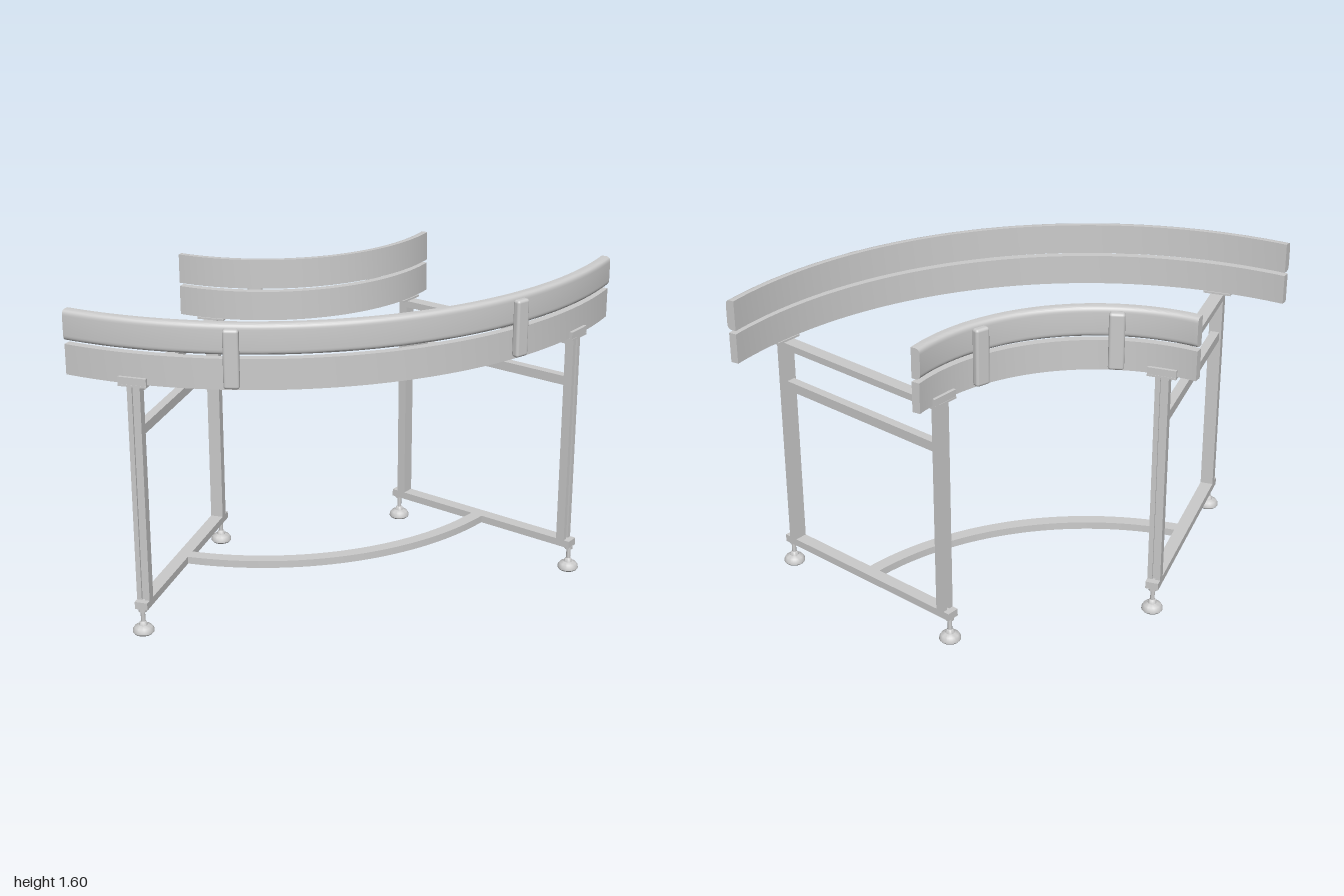
import * as THREE from 'three';
import { toCreasedNormals } from 'three/addons/utils/BufferGeometryUtils.js';
import { RoundedBoxGeometry } from 'three/addons/geometries/RoundedBoxGeometry.js';

const grey = new THREE.MeshStandardMaterial({ color: 0xcccccc });
const greyDouble = new THREE.MeshStandardMaterial({ color: 0xcccccc, side: THREE.DoubleSide });

function add(parent, name, geometry, x = 0, y = 0, z = 0, material = grey) {
  const mesh = new THREE.Mesh(geometry, material);
  mesh.name = name;
  mesh.position.set(x, y, z);
  parent.add(mesh);
  return mesh;
}

// Box given by its radial (x) and vertical (y) extents and tangential width
function bar(parent, name, r0, r1, y0, y1, width) {
  return add(parent, name, new THREE.BoxGeometry(r1 - r0, y1 - y0, width), (r0 + r1) / 2, (y0 + y1) / 2, 0);
}

// Cross-section of a rail: flat back, outer face (towards dir) optionally rounded
function railSection(back, dir, thick, y0, y1, round) {
  const face = back + dir * thick, s = new THREE.Shape();
  s.moveTo(back, y0);
  if (round) {
    const cx = face - dir * round, k = round * 1.1;
    s.lineTo(cx, y0);
    s.quadraticCurveTo(face, y0, face, y0 + k);
    s.lineTo(face, y1 - k);
    s.quadraticCurveTo(face, y1, cx, y1);
  } else {
    s.lineTo(face, y0);
    s.lineTo(face, y1);
  }
  s.lineTo(back, y1);
  return s;
}

// Sweep a section about the bend centre from angle a0 to a1, with end caps
function sweep(parent, name, shape, a0, a1, segments = 64) {
  const group = new THREE.Group();
  group.name = name;
  const pts = shape.getPoints(6);
  if (THREE.ShapeUtils.isClockWise(pts)) pts.reverse();
  pts.push(pts[0].clone());
  const body = new THREE.LatheGeometry(pts, segments, Math.PI / 2 - a1, a1 - a0);
  add(group, name + 'Body', toCreasedNormals(body, 0.6), 0, 0, 0, greyDouble);
  for (const a of [a0, a1]) {
    add(group, name + 'End', new THREE.ShapeGeometry(shape, 6), 0, 0, 0, greyDouble).rotation.y = -a;
  }
  parent.add(group);
}

// Upright profile with a shallow slot in its outward face
function legGeometry(dir, height) {
  const h = 0.023, w = 0.0325, slot = 0.008, d = 0.01;
  const pts = [[-h, -w], [h, -w], [h, -slot], [h - d, -slot], [h - d, slot], [h, slot], [h, w], [-h, w]];
  const shape = new THREE.Shape(pts.map(([x, y]) => new THREE.Vector2(x * dir, y)));
  const geometry = new THREE.ExtrudeGeometry(shape, { depth: height, bevelEnabled: false });
  return geometry.rotateX(-Math.PI / 2);
}

// Levelling foot: domed base, neck and threaded stem
function footGeometry() {
  const profile = [[0, 0], [0.046, 0], [0.053, 0.008], [0.052, 0.02], [0.043, 0.034], [0.022, 0.043],
    [0.017, 0.058], [0.011, 0.062], [0.011, 0.115], [0.02, 0.115], [0.02, 0.132], [0, 0.132]];
  const lathe = new THREE.LatheGeometry(profile.map(p => new THREE.Vector2(...p)), 28);
  return toCreasedNormals(lathe, 0.7);
}

export function createModel() {
  const model = new THREE.Group();
  model.name = 'curvedConveyorGuide';

  // Everything is laid out around the centre of the bend
  const bend = new THREE.Group();
  bend.name = 'bend';
  bend.position.set(-1, 0, -1);
  model.add(bend);

  const deg = Math.PI / 180;
  const sides = [
    { name: 'inner', dir: -1, back: 0.95, leg: 0.927, foot: 0.894 },
    { name: 'outer', dir: 1, back: 1.92, leg: 1.941, foot: 1.977 },
  ];

  // Lower and upper rails, and the clips joining them
  for (const { name, dir, back } of sides) {
    sweep(bend, name + 'LowerRail', railSection(back, dir, 0.04, 1.28, 1.43, 0), 0, 90 * deg);
    sweep(bend, name + 'UpperRail', railSection(back, dir, 0.046, 1.447, 1.597, 0.025), 0, 90 * deg);
    for (const a of [24, 66]) {
      const holder = new THREE.Group();
      holder.name = name + 'RailClip';
      holder.rotation.y = -a * deg;
      add(holder, 'clip', new RoundedBoxGeometry(0.042, 0.285, 0.075, 3, 0.014), back + dir * 0.059, 1.437, 0);
      bend.add(holder);
    }
  }

  // Two support frames standing across the bend
  for (const a of [10.3, 79.7]) {
    const frame = new THREE.Group();
    frame.name = 'supportFrame';
    frame.rotation.y = -a * deg;
    bend.add(frame);
    bar(frame, 'bottomBar', 0.872, 1.995, 0.13, 0.168, 0.065);
    bar(frame, 'middleBar', 0.945, 1.92, 1.012, 1.06, 0.045);
    bar(frame, 'topBar', 0.945, 1.92, 1.236, 1.27, 0.065);
    for (const { name, dir, back, leg, foot } of sides) {
      add(frame, name + 'Leg', legGeometry(dir, 1.102), leg, 0.168, 0);
      add(frame, name + 'Foot', footGeometry(), foot, 0, 0);
      // Angle bracket under and outside the rail
      add(frame, name + 'BracketPlate', new THREE.BoxGeometry(0.065, 0.01, 0.14), back + dir * 0.026, 1.275, 0);
      add(frame, name + 'BracketLip', new THREE.BoxGeometry(0.016, 0.045, 0.14), back + dir * 0.049, 1.2925, 0);
    }
  }

  // Curved tie between the frames at floor level
  sweep(bend, 'curvedTie', railSection(1.392, 1, 0.065, 0.13, 0.168, 0), 11 * deg, 79 * deg, 48);

  return model;
}
